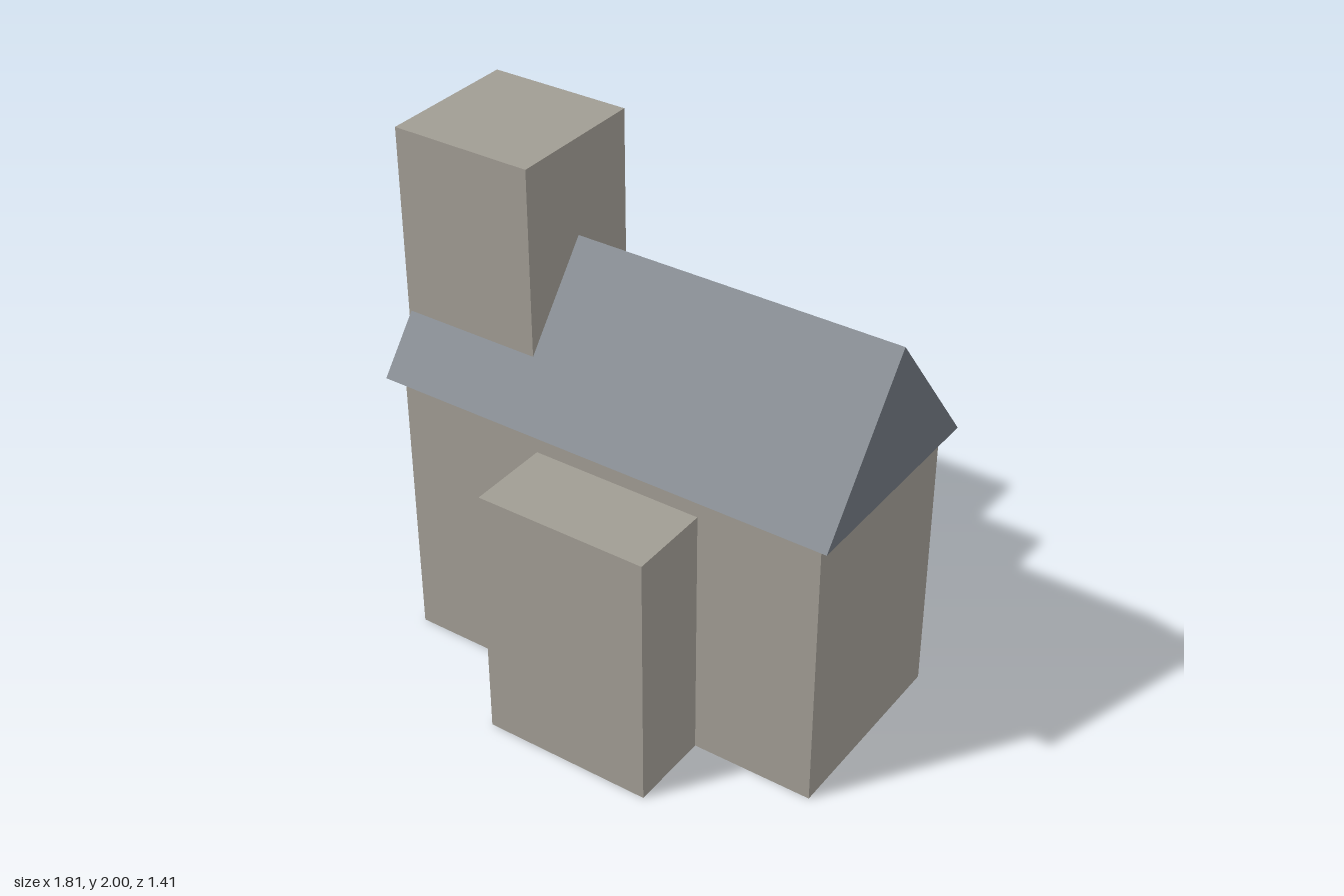
import * as THREE from 'three';

// Box standing on y = 0, with no floor: the shells are open underneath
function openBox(x0, x1, halfDepth, height) {
  const g = new THREE.BoxGeometry(x1 - x0, height, halfDepth * 2);
  const index = Array.from(g.index.array);
  index.splice(18, 6); // the downward face
  g.setIndex(index);
  g.clearGroups();
  g.translate((x0 + x1) / 2, height / 2, 0);
  return g;
}

export function createModel() {
  const model = new THREE.Group();
  model.name = 'church';

  const stone = new THREE.MeshStandardMaterial({ color: 0xa09c93, side: THREE.DoubleSide });
  stone.name = 'stone grey';
  const slate = new THREE.MeshStandardMaterial({ color: 0x70777f, side: THREE.DoubleSide });
  slate.name = 'slate blue';

  const add = (name, geometry, material) => {
    const mesh = new THREE.Mesh(geometry, material);
    mesh.name = name;
    model.add(mesh);
  };

  // Walls: long nave, crossing transept, and tower at the -x end
  add('nave', openBox(-0.845, 0.855, 0.385, 1.099), stone);
  add('transept', openBox(-0.27, 0.387, 0.703, 1.0), stone);
  add('tower', openBox(-0.905, -0.36, 0.273, 2.0), stone);

  // Gabled roof: triangle extruded along the nave, overhanging the walls
  const gable = new THREE.Shape([
    new THREE.Vector2(-0.43, 1.095),
    new THREE.Vector2(0.43, 1.095),
    new THREE.Vector2(0, 1.638),
  ]);
  const roof = new THREE.ExtrudeGeometry(gable, { depth: 1.795, bevelEnabled: false });
  roof.rotateY(Math.PI / 2);
  roof.translate(-0.895, 0, 0);
  add('roof', roof, slate);

  return model;
}
